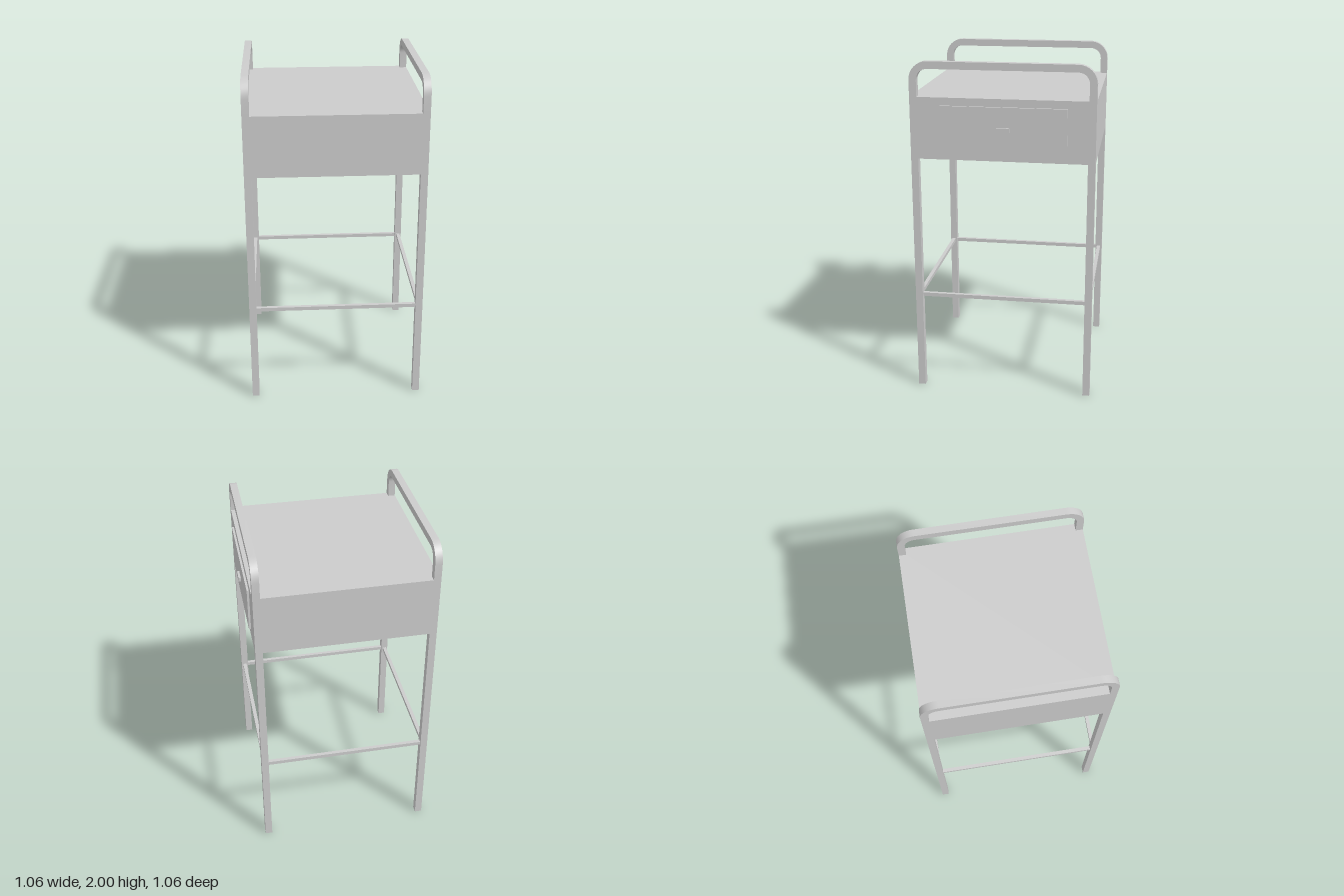
import * as THREE from 'three';
import { toCreasedNormals } from 'three/addons/utils/BufferGeometryUtils.js';

const material = new THREE.MeshStandardMaterial({ color: 0xcccccc });

// Box given by its minimum and maximum corners
function addBox(group, name, [x0, y0, z0], [x1, y1, z1]) {
  const mesh = new THREE.Mesh(new THREE.BoxGeometry(x1 - x0, y1 - y0, z1 - z0), material);
  mesh.name = name;
  mesh.position.set((x0 + x1) / 2, (y0 + y1) / 2, (z0 + z1) / 2);
  group.add(mesh);
}

export function createModel() {
  const group = new THREE.Group();
  const left = -0.53, right = 0.505, depth = 0.528, tube = 0.042;
  const bodyBottom = 1.443, bodyTop = 1.8, top = 2;

  // Cabinet body
  addBox(group, 'cabinet', [left, bodyBottom, -depth], [right, bodyTop, depth]);

  // Drawer front and its handle on the +x side
  addBox(group, 'drawerFront', [right, 1.5, -0.368], [0.517, 1.755, 0.353]);
  addBox(group, 'drawerHandle', [0.517, 1.615, -0.045], [0.53, 1.64, 0.03]);

  // Four square legs
  for (const x of [left, right - tube])
    for (const z of [-depth, depth - tube])
      addBox(group, 'leg', [x, 0, z], [x + tube, bodyBottom, z + tube]);

  // Thin stretchers running between the legs
  const y0 = 0.588, y1 = 0.61, half = 0.011;
  for (const x of [left + tube / 2, right - tube / 2])
    addBox(group, 'sideStretcher', [x - half, y0, -depth + tube], [x + half, y1, depth - tube]);
  for (const z of [-depth + tube / 2, depth - tube / 2])
    addBox(group, 'crossStretcher', [left + tube, y0, z - half], [right - tube, y1, z + half]);

  // Rounded guard rails above the cabinet, drawn as a profile in z and y
  const r = 0.105, inner = r - tube, w = depth - tube;
  const rail = new THREE.Shape();
  rail.moveTo(depth, bodyTop);
  rail.lineTo(depth, top - r);
  rail.absarc(depth - r, top - r, r, 0, Math.PI / 2, false);
  rail.lineTo(r - depth, top);
  rail.absarc(r - depth, top - r, r, Math.PI / 2, Math.PI, false);
  rail.lineTo(-depth, bodyTop);
  rail.lineTo(-w, bodyTop);
  rail.lineTo(-w, top - r);
  rail.absarc(r - depth, top - r, inner, Math.PI, Math.PI / 2, true);
  rail.lineTo(depth - r, top - tube);
  rail.absarc(depth - r, top - r, inner, Math.PI / 2, 0, true);
  rail.lineTo(w, bodyTop);
  rail.closePath();
  const railGeometry = toCreasedNormals(
    new THREE.ExtrudeGeometry(rail, { depth: tube, bevelEnabled: false, curveSegments: 4 }), 0.6);
  railGeometry.rotateY(-Math.PI / 2);
  for (const x of [left, right - tube]) {
    const mesh = new THREE.Mesh(railGeometry, material);
    mesh.name = 'guardRail';
    mesh.position.x = x + tube;
    group.add(mesh);
  }
  return group;
}
